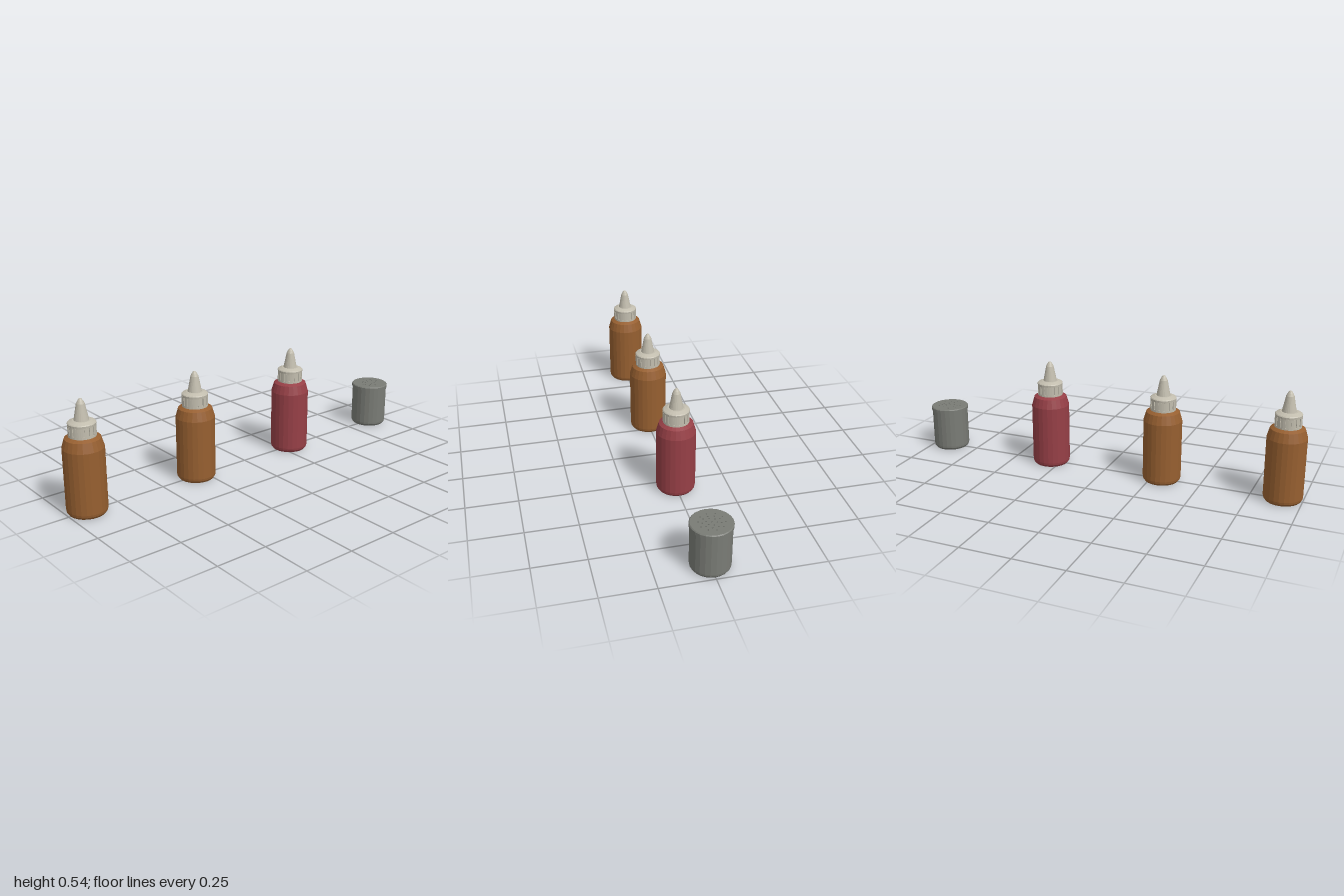
import * as THREE from 'three';

const SIDES = 24;

function makeMaterial(name, color) {
  const m = new THREE.MeshStandardMaterial({ color, flatShading: true });
  m.name = name;
  return m;
}

function addMesh(parent, name, geometry, material, y = 0) {
  const mesh = new THREE.Mesh(geometry, material);
  mesh.name = name;
  mesh.position.y = y;
  parent.add(mesh);
  return mesh;
}

// Turned solid from [radius, height] pairs, bottom to top
function turned(profile) {
  return new THREE.LatheGeometry(profile.map(([r, y]) => new THREE.Vector2(r, y)), SIDES);
}

// Upright prism from a flat outline
function prism(shape, depth) {
  return new THREE.ExtrudeGeometry(shape, { depth, bevelEnabled: false, curveSegments: 12 }).rotateX(-Math.PI / 2);
}

// Ring outline with evenly spaced grip grooves
function groovedOutline(outer, inner, count) {
  const points = [];
  const step = (Math.PI * 2) / count;
  for (let i = 0; i < count; i++) {
    for (const [r, t] of [[outer, -0.12], [inner, -0.12], [inner, 0.12], [outer, 0.12], [outer, 0.5]]) {
      const a = (i + t) * step;
      points.push(new THREE.Vector2(r * Math.cos(a), r * Math.sin(a)));
    }
  }
  return new THREE.Shape(points);
}

function makeBottle(name, bodyMaterial, capMaterial) {
  const bottle = new THREE.Group();
  bottle.name = name;
  addMesh(bottle, 'bottleBody', turned([
    [0, 0], [0.084, 0], [0.092, 0.011], [0.094, 0.022], [0.094, 0.313],
    [0.081, 0.357], [0.062, 0.367], [0, 0.367],
  ]), bodyMaterial);
  // Screw cap: lower collar, grooved grip, sloping top
  addMesh(bottle, 'capCollar', turned([[0, 0.365], [0.0625, 0.365], [0.0625, 0.377], [0, 0.377]]), capMaterial);
  addMesh(bottle, 'capGrip', prism(groovedOutline(0.0625, 0.058, 16), 0.04), capMaterial, 0.377);
  addMesh(bottle, 'capTop', turned([
    [0, 0.417], [0.0625, 0.417], [0.0635, 0.427], [0.06, 0.431], [0.041, 0.439], [0, 0.439],
  ]), capMaterial);
  addMesh(bottle, 'nozzle', turned([
    [0.034, 0.437], [0.027, 0.472], [0.019, 0.513], [0.013, 0.525], [0.006, 0.535], [0, 0.536],
  ]), capMaterial);
  return bottle;
}

function makeShaker(material) {
  const shaker = new THREE.Group();
  shaker.name = 'shaker';
  addMesh(shaker, 'shakerBody', turned([
    [0, 0], [0.084, 0], [0.091, 0.011], [0.092, 0.02], [0.092, 0.21], [0, 0.21],
  ]), material);
  addMesh(shaker, 'lidRim', turned([
    [0.09, 0.207], [0.096, 0.209], [0.096, 0.223], [0.092, 0.227], [0.085, 0.227],
  ]), material);

  // Perforated lid plate
  const plate = new THREE.Shape();
  plate.absarc(0, 0, 0.086, 0, Math.PI * 2);
  for (const [count, radius, turn] of [[1, 0, 0], [6, 0.024, 0.2], [9, 0.041, 0.5], [10, 0.058, 0.1]]) {
    for (let i = 0; i < count; i++) {
      const a = turn + (i / count) * Math.PI * 2;
      const hole = new THREE.Path();
      hole.absarc(radius * Math.cos(a), radius * Math.sin(a), 0.0035, 0, Math.PI * 2, true);
      plate.holes.push(hole);
    }
  }
  addMesh(shaker, 'lidPlate', prism(plate, 0.01), material, 0.217);
  return shaker;
}

export function createModel() {
  const brown = makeMaterial('brown plastic', 0x965f30);
  const red = makeMaterial('red plastic', 0x963f46);
  const cream = makeMaterial('cream cap', 0xc2bdae);
  const grey = makeMaterial('grey metal', 0x797b75);

  const model = new THREE.Group();
  model.name = 'condimentSet';
  const items = [
    makeBottle('brownBottleA', brown, cream),
    makeBottle('brownBottleB', brown, cream),
    makeBottle('redBottle', red, cream),
    makeShaker(grey),
  ];
  items.forEach((item, i) => {
    item.position.x = -0.906 + i * 0.6033;
    model.add(item);
  });
  return model;
}
